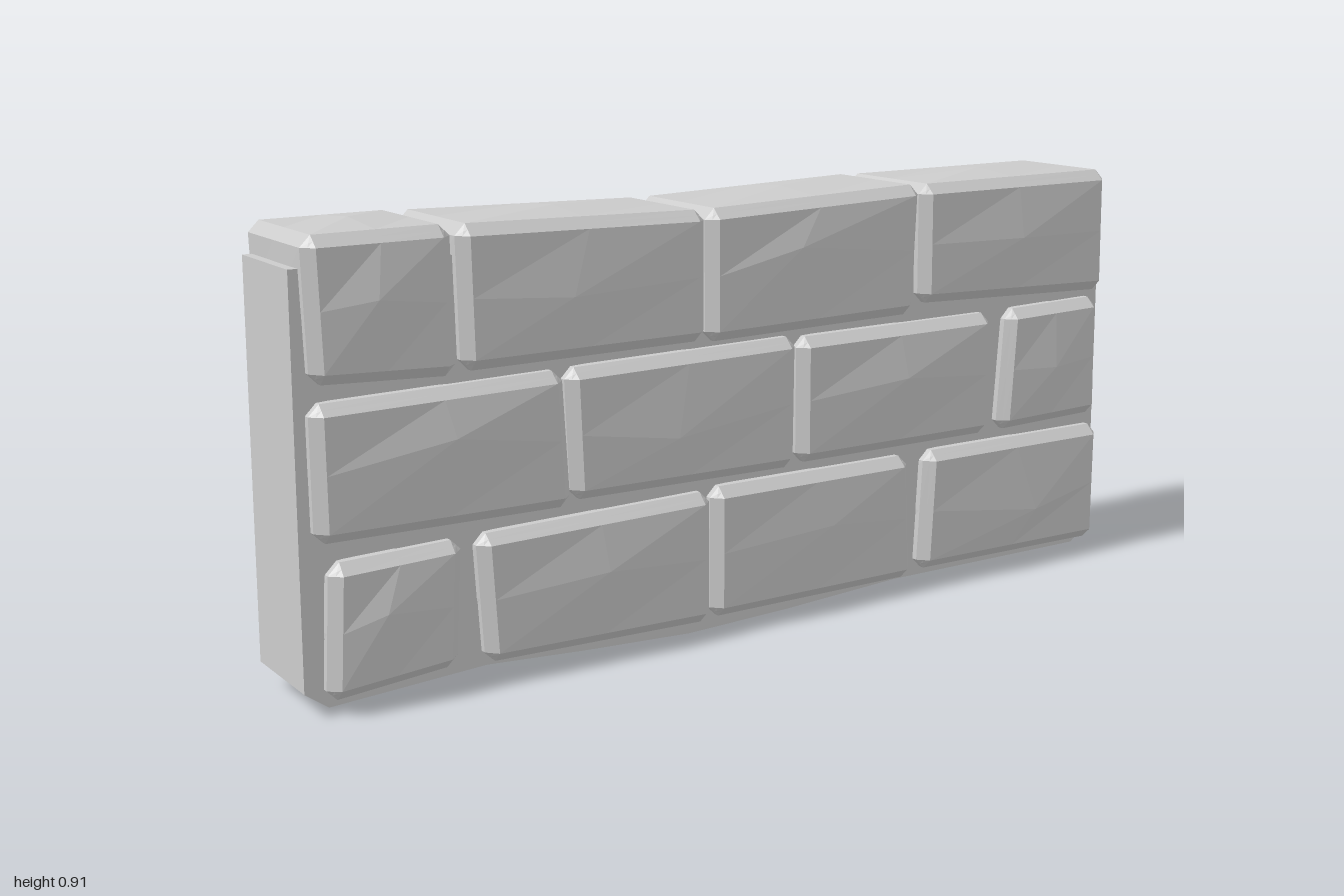
import * as THREE from 'three';

const material = new THREE.MeshStandardMaterial({ color: 0xcccccc, flatShading: true });

// small seeded generator, gives -1..1
let seed = 7;
function rnd() {
  seed = (seed * 16807) % 2147483647;
  return (seed / 2147483647) * 2 - 1;
}

// Chamfered stone block; corners run bottom-left, bottom-right, top-right, top-left
function stone([ax, ay, bx, by, cx, cy, dx, dy], endBulge) {
  const geo = new THREE.BoxGeometry(2, 2, 2, 4, 4, 4);
  const pos = geo.attributes.position;
  const half = [(bx - ax + cx - dx) / 4, (dy - ay + cy - by) / 4, 0.142];
  const chamfer = 0.022;
  // each face swells to an off-centre peak
  const peaks = [-1, 1].map(() => [rnd() * 0.35, rnd() * 0.35, 0.011 + rnd() * 0.004]);
  for (let i = 0; i < pos.count; i++) {
    const u = [pos.getX(i), pos.getY(i), pos.getZ(i)];
    const outer = u.filter((v) => Math.abs(v) > 0.9).length;
    const s = u.map((v, k) => {
      const a = Math.abs(v);
      if (a < 0.1) return 0;
      const inset = a < 0.9 ? chamfer : outer === 1 ? 0 : outer === 2 ? chamfer / 2 : chamfer * 0.65;
      return Math.sign(v) * (1 - inset / half[k]);
    });
    let z = s[2] * half[2], lift = 0, push = 0;
    if (outer === 1 && u.filter((v) => Math.abs(v) < 0.1).length === 2) {
      if (u[2]) {
        const [px, py, pz] = peaks[u[2] > 0 ? 1 : 0];
        s[0] = px;
        s[1] = py;
        z += u[2] * pz;
      } else if (u[1]) lift = u[1] * 0.01;
      else push = u[0] * endBulge;
    }
    // bilinear blend between the four corners
    const p = (s[0] + 1) / 2, q = (s[1] + 1) / 2;
    const mix = (a, b, c, d) => (a * (1 - p) + b * p) * (1 - q) + (d * (1 - p) + c * p) * q;
    pos.setXYZ(i, mix(ax, bx, cx, dx) + push, mix(ay, by, cy, dy) + lift, z);
  }
  geo.computeVertexNormals();
  return new THREE.Mesh(geo, material);
}

export function createModel() {
  seed = 7;
  const wall = new THREE.Group();
  wall.name = 'brickWall';

  // mortar core with an uneven underside
  const outline = [
    [-0.997, 0.05], [-0.95, 0.015], [-0.62, 0.03], [-0.4, 0.014], [-0.15, 0],
    [0.1, 0.005], [0.4, 0.018], [0.94, 0.012], [0.993, 0.05], [0.987, 0.83], [-0.99, 0.84],
  ].map(([x, y]) => new THREE.Vector2(x, y));
  const coreGeo = new THREE.ExtrudeGeometry(new THREE.Shape(outline), { depth: 0.214, bevelEnabled: false });
  coreGeo.translate(0, 0, -0.107);
  const core = new THREE.Mesh(coreGeo, material);
  core.name = 'mortarCore';
  wall.add(core);

  // courses of through-going bricks
  const courses = {
    bottomCourse: [
      [-0.96, 0.03, -0.69, 0.05, -0.675, 0.30, -0.945, 0.295],
      [-0.63, 0.04, -0.108, 0.025, -0.108, 0.305, -0.645, 0.30],
      [-0.107, 0.03, 0.43, 0.025, 0.415, 0.305, -0.105, 0.31],
      [0.45, 0.035, 0.988, 0.025, 0.988, 0.30, 0.465, 0.305],
    ],
    middleCourse: [
      [-0.97, 0.335, -0.435, 0.325, -0.45, 0.60, -0.97, 0.595],
      [-0.435, 0.335, 0.105, 0.325, 0.108, 0.605, -0.445, 0.60],
      [0.112, 0.33, 0.645, 0.325, 0.645, 0.60, 0.112, 0.60],
      [0.675, 0.325, 0.98, 0.33, 0.97, 0.605, 0.695, 0.60],
    ],
    topCourse: [
      [-0.965, 0.63, -0.675, 0.615, -0.68, 0.90, -0.972, 0.90],
      [-0.665, 0.62, -0.12, 0.62, -0.12, 0.885, -0.67, 0.898],
      [-0.117, 0.615, 0.42, 0.62, 0.432, 0.90, -0.117, 0.885],
      [0.437, 0.64, 0.985, 0.62, 0.98, 0.898, 0.435, 0.898],
    ],
  };
  for (const [name, bricks] of Object.entries(courses)) {
    const course = new THREE.Group();
    course.name = name;
    bricks.forEach((corners, i) => {
      const brick = stone(corners, name === 'bottomCourse' ? 0.009 : 0.003);
      brick.name = 'brick' + (i + 1);
      course.add(brick);
    });
    wall.add(course);
  }
  return wall;
}
